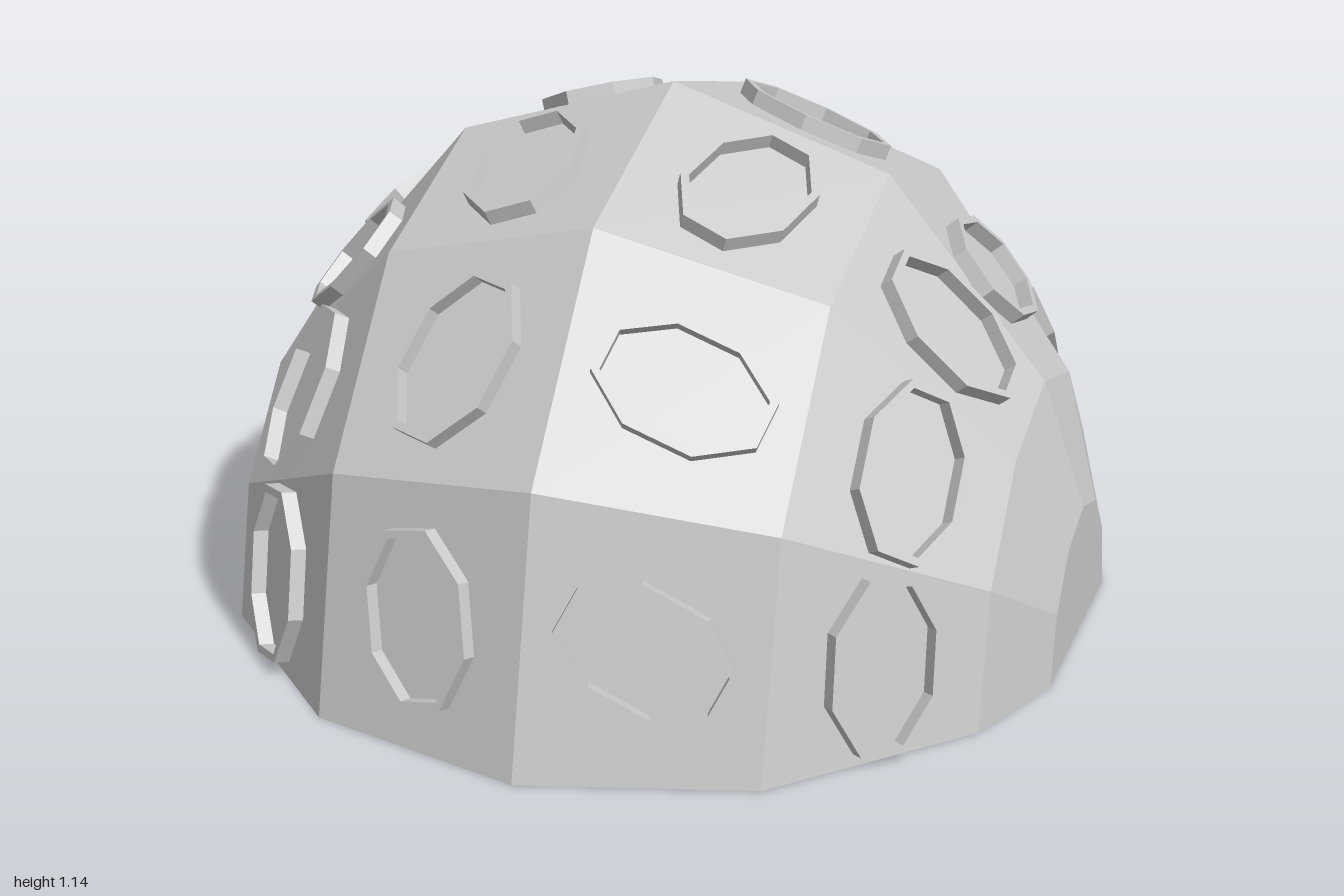
import * as THREE from 'three';

const SEGMENTS = 6;                 // panels over the arch, front to back
const AXIS_X = 0.945, HEIGHT = 1.145;
const LATITUDES = [0, 30, 60, 75];  // facet rings from the middle to the side cap

// Point on the faceted dome: latitude towards the +x / -x side, angle from front (0) over the top to back (180)
function domePoint(latitude, angle) {
  const a = THREE.MathUtils.degToRad(latitude), b = THREE.MathUtils.degToRad(angle);
  return new THREE.Vector3(
    AXIS_X * Math.sin(a), HEIGHT * Math.cos(a) * Math.sin(b), Math.cos(a) * Math.cos(b));
}

// Open half shell: a profile turned half way round the x axis, with flat side caps
function createShell() {
  const capX = AXIS_X * Math.sin(THREE.MathUtils.degToRad(75));
  const rings = [...LATITUDES.slice(1).reverse().map(l => -l), ...LATITUDES];
  const profile = rings.map(l => {
    const a = THREE.MathUtils.degToRad(l);
    return new THREE.Vector2(Math.cos(a), AXIS_X * Math.sin(a));
  });
  profile.unshift(new THREE.Vector2(0, -capX));
  profile.push(new THREE.Vector2(0, capX));
  const geometry = new THREE.LatheGeometry(profile, SEGMENTS, -Math.PI, Math.PI);
  geometry.rotateZ(-Math.PI / 2);
  geometry.scale(1, HEIGHT, 1);
  const flat = geometry.toNonIndexed();
  flat.computeVertexNormals();
  return flat;
}

// Stretched octagonal frame, lying in xy and long in x
function createFrameGeometry() {
  const octagon = (a, b) => Array.from({ length: 8 }, (_, i) => {
    const t = (i + 0.5) * Math.PI / 4;
    return new THREE.Vector2(a * Math.cos(t), b * Math.sin(t));
  });
  const shape = new THREE.Shape(octagon(0.195, 0.134));
  shape.holes.push(new THREE.Path(octagon(0.177, 0.116).reverse()));
  const geometry = new THREE.ExtrudeGeometry(shape, { depth: 0.05, bevelEnabled: false });
  geometry.translate(0, 0, -0.017);
  return geometry;
}

// Turn of each frame in its panel (degrees), front to back
const BANDS = [
  { name: 'innerFrameLeft', from: 0, to: 30, turns: [-25, -14, 76, -25, 15, 22] },
  { name: 'innerFrameRight', from: -30, to: 0, turns: [100, 72, 100, 100, 16, -8] },
  { name: 'outerFrameLeft', from: 30, to: 60, turns: [92, 90, 0, 90, 95, 95] },
  { name: 'outerFrameRight', from: -60, to: -30, turns: [92, 68, -25, 85, 85, 90] },
];

export function createModel() {
  const model = new THREE.Group();
  model.name = 'facetedDome';
  const material = new THREE.MeshStandardMaterial({
    color: 0xcccccc, flatShading: true, side: THREE.DoubleSide });

  const shell = new THREE.Mesh(createShell(), material);
  shell.name = 'domeShell';
  model.add(shell);

  // One frame in the middle of each panel, aligned with the panel's plane
  const frameGeometry = createFrameGeometry();
  const step = 180 / SEGMENTS;
  for (const { name, from, to, turns } of BANDS) {
    turns.forEach((turn, i) => {
      const [p, q, r, s] = [[from, i], [to, i], [to, i + 1], [from, i + 1]]
        .map(([latitude, j]) => domePoint(latitude, j * step));
      const center = p.clone().add(q).add(r).add(s).multiplyScalar(0.25);
      const across = q.clone().add(r).sub(p).sub(s).normalize();
      const along = s.clone().sub(p).normalize();
      const normal = across.clone().cross(along).normalize();
      across.crossVectors(along, normal);
      const frame = new THREE.Mesh(frameGeometry, material);
      frame.name = name + (i + 1);
      frame.quaternion.setFromRotationMatrix(new THREE.Matrix4().makeBasis(across, along, normal));
      frame.rotateZ(THREE.MathUtils.degToRad(turn));
      frame.position.copy(center);
      model.add(frame);
    });
  }
  return model;
}
